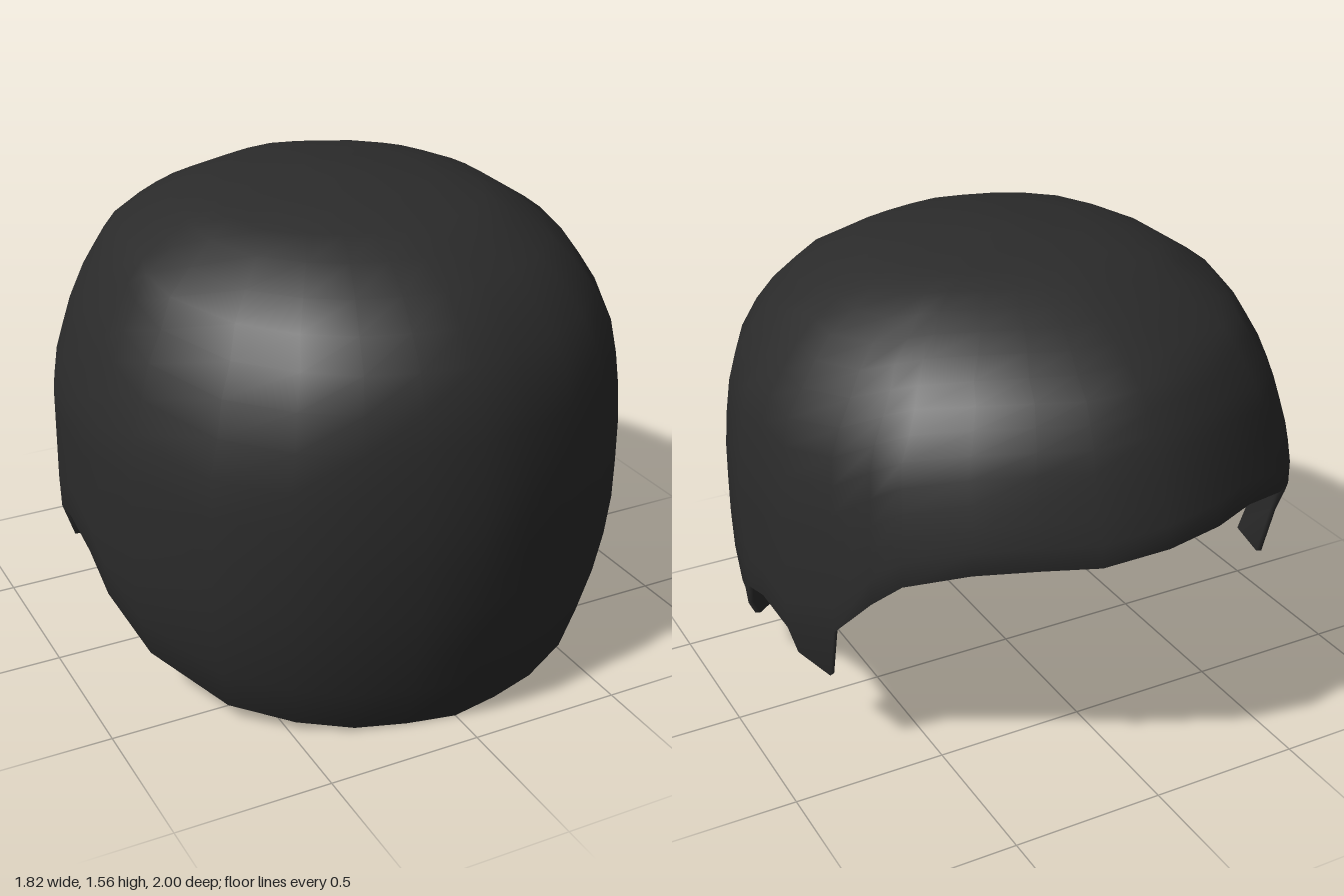
import * as THREE from 'three';
import { mergeVertices } from 'three/addons/utils/BufferGeometryUtils.js';

// Linear lookup in a list of [height, value] pairs
function lookup(list, y) {
  for (let i = 1; i < list.length; i++) {
    const [y0, v0] = list[i - 1], [y1, v1] = list[i];
    if (y <= y1) return v0 + (v1 - v0) * Math.max(0, (y - y0) / (y1 - y0));
  }
  return list[list.length - 1][1];
}

// Reach of the shell at each height, as a fraction of its widest outline;
// the right side is a little more sloped than the left
const FRONT = [[0, 0.87], [0.2, 0.935], [0.45, 0.98], [0.72, 1], [1.05, 0.97], [1.24, 0.885],
  [1.39, 0.725], [1.5, 0.485], [1.545, 0.22], [1.556, 0]];
const BACK = [[0.3, 0.99], [0.88, 1], [1.03, 0.96], [1.18, 0.905], [1.31, 0.815], [1.42, 0.65],
  [1.52, 0.41], [1.545, 0.2], [1.556, 0]];
const LOWER_SIDE = [[0, 0.88], [0.16, 0.94], [0.3, 0.98], [0.48, 1], [0.87, 0.995]];
const LEFT = [...LOWER_SIDE, [1.13, 0.953], [1.35, 0.79], [1.49, 0.545], [1.545, 0.265], [1.556, 0]];
const RIGHT = [...LOWER_SIDE, [1.13, 0.908], [1.35, 0.77], [1.49, 0.53], [1.54, 0.265], [1.556, 0]];

// Half outline from front to back: x, z, height of the lower edge
const OUTLINE = [
  [0, 1, 0], [0.18, 0.968, 0.004], [0.36, 0.915, 0.01], [0.54, 0.82, 0.035],
  [0.715, 0.65, 0.06], [0.855, 0.37, 0.16], [0.895, 0.19, 0.31],
  [0.908, 0.1, 0.43], [0.908, -0.06, 0.48], [0.892, -0.215, 0.44],
  [0.82, -0.43, 0.52], [0.75, -0.56, 0.67], [0.69, -0.65, 0.76], [0.54, -0.8, 0.835],
  [0.36, -0.885, 0.845], [0.2, -0.96, 0.85], [0, -1, 0.88],
];
// Lower corners of the tab, which hangs from the outline point TAB_AT and the next one
const TAB = [[0.868, -0.204, 0.33], [0.83, -0.375, 0.33]];
const TAB_AT = 9;
const TOP = 1.556;
const ROWS = 16;
const THICKNESS = 0.02;

// The nape edge sits slightly higher on the right side
const mirror = (list) => list.map(([x, z, y]) => [-x, z, z < -0.85 ? y + 0.033 : y]).reverse();

function shellGeometry() {
  const columns = [...OUTLINE, ...mirror(OUTLINE.slice(1, -1))];
  const n = columns.length;
  const positions = [], index = [];

  // Adds one point of the outer or inner wall; t runs from the edge to the crown
  const addPoint = (px, pz, y, inner, t) => {
    const inset = inner ? 1 - THICKNESS : 1;
    const width = lookup(px > 0 ? LEFT : RIGHT, y);
    const depth = lookup(pz > 0 ? FRONT : BACK, y);
    positions.push(px * width * inset, inner ? y - THICKNESS * t : y, pz * depth * inset);
    return positions.length / 3 - 1;
  };
  const quad = (a, b, c, d) => index.push(a, b, c, a, c, d);
  const wall = (inner, a, b, c, d) => (inner ? quad(b, a, d, c) : quad(a, b, c, d));

  // Outer and inner walls; rows crowd together towards the crown
  const edges = [false, true].map((inner) => {
    const grid = columns.map(([px, pz, rim]) => Array.from({ length: ROWS + 1 }, (_, j) => {
      const y = j === ROWS ? TOP : rim + (TOP - rim) * Math.sin((j / ROWS) * Math.PI / 2);
      return addPoint(px, pz, y, inner, j / ROWS);
    }));
    const edge = [];
    for (let i = 0; i < n; i++) {
      const a = grid[i], b = grid[(i + 1) % n];
      for (let j = 0; j < ROWS; j++) wall(inner, a[j], b[j], b[j + 1], a[j + 1]);
      edge.push(a[0]);
      // side tabs
      const left = i === TAB_AT, right = i === n - TAB_AT - 1;
      if (left || right) {
        const corners = (left ? TAB : mirror(TAB)).map(([x, z, y]) => addPoint(x, z, y, inner, 0));
        wall(inner, ...corners, b[0], a[0]);
        edge.push(...corners);
      }
    }
    return edge;
  });

  // Narrow strip joining the two walls along the lower edge
  const [outer, inner] = edges;
  outer.forEach((a, i) => {
    const k = (i + 1) % outer.length;
    quad(outer[k], a, inner[i], inner[k]);
  });

  const geometry = new THREE.BufferGeometry();
  geometry.setAttribute('position', new THREE.Float32BufferAttribute(positions, 3));
  geometry.setIndex(index);
  const merged = mergeVertices(geometry, 1e-4);
  merged.computeVertexNormals();
  return merged;
}

export function createModel() {
  const group = new THREE.Group();
  group.name = 'hairPiece';
  const charcoal = new THREE.MeshStandardMaterial({ color: 0x2b2b2b });
  charcoal.name = 'charcoal';

  // Open shell with a notch and a short tab on each side
  const shell = new THREE.Mesh(shellGeometry(), charcoal);
  shell.name = 'hairShell';
  group.add(shell);
  return group;
}
